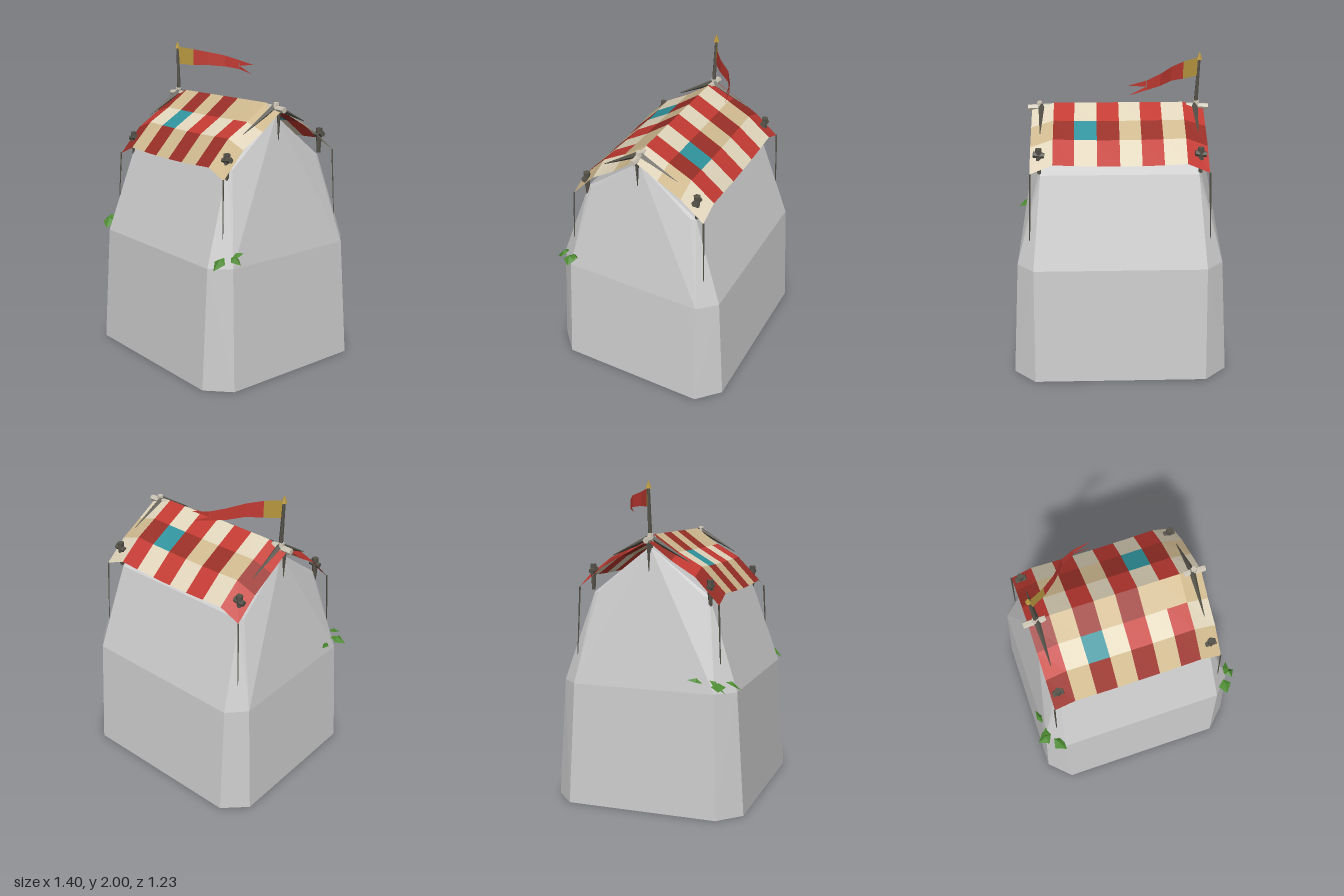
import * as THREE from 'three';
import { ConvexGeometry } from 'three/addons/geometries/ConvexGeometry.js';

const mat = (name, color, flat = true) => {
  const m = new THREE.MeshStandardMaterial({ color, flatShading: flat, side: THREE.DoubleSide });
  m.name = name;
  return m;
};
const V = (x, y, z) => new THREE.Vector3(x, y, z);

export function createModel() {
  const group = new THREE.Group();
  const M = {
    stone: mat('stone grey', 0xcccccc), cream: mat('cream cloth', 0xe0d5bb), tan: mat('tan cloth', 0xcfb98f),
    red: mat('red cloth', 0xc23a32), darkRed: mat('dark red cloth', 0x982f27), teal: mat('teal patch', 0x2f929c),
    gold: mat('gold', 0xb8973f), wood: mat('dark wood', 0x56534a), pale: mat('pale wood', 0xcfc8b8),
    leaf: mat('leaf green', 0x4c8a30),
  };
  const add = (name, geometry, material, parent = group) => {
    const mesh = new THREE.Mesh(geometry, material);
    mesh.name = name;
    parent.add(mesh);
    return mesh;
  };
  // Triangles through a list of corner points
  const faces = (pts) => {
    const g = new THREE.BufferGeometry().setFromPoints(pts);
    g.computeVertexNormals();
    return g;
  };
  // Tapered stick between two points
  const stick = (name, a, b, ra, rb, material, sides = 6) => {
    const d = b.clone().sub(a);
    const mesh = add(name, new THREE.CylinderGeometry(rb, ra, d.length(), sides), material);
    mesh.position.copy(a).add(b).multiplyScalar(0.5);
    mesh.quaternion.setFromUnitVectors(V(0, 1, 0), d.normalize());
    return mesh;
  };

  // Tent body: chamfered rings [y, outer x, inner x, outer z, inner z] closing in a ridge
  const bodyPts = [V(-0.5, 1.61, 0), V(0.5, 1.61, 0)];
  const rings = [[0, 0.69, 0.55, 0.615, 0.48], [0.76, 0.645, 0.54, 0.565, 0.455], [1.32, 0.505, 0.49, 0.375, 0.345]];
  for (const [y, ox, ix, oz, iz] of rings)
    for (const sx of [-1, 1]) for (const sz of [-1, 1])
      bodyPts.push(V(sx * ox, y, sz * iz), V(sx * ix, y, sz * oz));
  add('body', new ConvexGeometry(bodyPts), M.stone);

  // Draped patchwork cloth, rows running from back to front
  const rowZ = [-0.45, -0.3, -0.15, 0, 0.15, 0.3, 0.45];
  const rowY = [1.415, 1.53, 1.605, 1.68, 1.575, 1.49, 1.335];
  const colX = [-0.545, -0.41, -0.27, -0.135, 0, 0.14, 0.28, 0.41, 0.55];
  const point = (c, r) => {
    const end = c === 0 || c === 8;
    const drop = end ? 0.035 + 0.025 * Math.abs(rowZ[r]) / 0.45 : 0;
    const sag = 0.015 * Math.abs(rowZ[r]) / 0.45 * Math.cos(colX[c] * 3.5);
    return V(colX[c], rowY[r] - drop - (end ? 0 : sag), rowZ[r]);
  };
  const patches = { cream: [], tan: [], red: [], darkRed: [], teal: [] };
  for (let r = 0; r < 6; r++) for (let c = 0; c < 8; c++) {
    const shaded = r % 2 === 1;
    let key = c % 2 === 0 ? (shaded ? 'darkRed' : 'red') : (shaded ? 'tan' : 'cream');
    if ((c === 2 && r === 4) || (c === 5 && r === 1)) key = 'teal';
    if (c === 6 && r === 3) key = 'tan';
    const [a, b, d, e] = [point(c, r), point(c, r + 1), point(c + 1, r + 1), point(c + 1, r)];
    patches[key].push(a, b, d, a, d, e);
  }
  const cloth = new THREE.Group();
  cloth.name = 'roofCloth';
  group.add(cloth);
  for (const key in patches) add(key + 'Patches', faces(patches[key]), M[key], cloth);

  // Ridge beam ends, with lashings over the slopes and a hanging tie
  for (const s of [-1, 1]) {
    stick('ridgeBeamEnd', V(s * 0.435, 1.655, 0), V(s * 0.575, 1.65, 0), 0.02, 0.02, M.pale);
    stick('beamKnot', V(s * 0.5, 1.63, 0), V(s * 0.5, 1.69, 0), 0.024, 0.018, M.pale);
    for (const z of [-1, 1]) {
      const lashing = stick('ridgeLashing', V(s * 0.49, 1.665, 0), V(s * 0.49, z > 0 ? 1.52 : 1.55, z * 0.25), 0.02, 0.002, M.wood, 4);
      lashing.name = z > 0 ? 'frontLashing' : 'backLashing';
    }
    stick('hangingTie', V(s * 0.525, 1.64, 0), V(s * 0.525, 1.46, 0), 0.014, 0.002, M.wood, 5);

    // Corner pegs with cross bars, and hanging cords
    for (const z of [-1, 1]) {
      const y = z > 0 ? 1.34 : 1.415;
      const x = s * 0.495, pz = z * 0.38;
      stick('cornerPeg', V(x, y - 0.08, pz), V(x, y + 0.08, pz), 0.012, 0.022, M.wood);
      stick('pegCrossBar', V(x - 0.035, y + 0.035, pz), V(x + 0.035, y + 0.045, pz), 0.018, 0.02, M.wood);
      stick('cord', V(s * 0.547, y - 0.06, z * 0.45), V(s * 0.563, 0.91, z * 0.467), 0.006, 0.003, M.wood, 4);
    }
  }

  // Flag pole and finial
  stick('flagPole', V(-0.49, 1.54, 0), V(-0.51, 1.96, -0.005), 0.016, 0.009, M.wood);
  stick('finial', V(-0.51, 1.955, -0.005), V(-0.512, 2, -0.005), 0.02, 0.002, M.gold);

  // Waving pennant: [x, z, top y, bottom y]
  const wave = [[-0.505, -0.005, 1.968, 1.852], [-0.405, -0.06, 1.953, 1.845], [-0.325, -0.125, 1.935, 1.848],
    [-0.25, -0.215, 1.912, 1.838], [-0.165, -0.265, 1.884, 1.825]];
  wave.slice(1).forEach((b, i) => {
    const a = wave[i];
    const [at, ab, bt, bb] = [V(a[0], a[2], a[1]), V(a[0], a[3], a[1]), V(b[0], b[2], b[1]), V(b[0], b[3], b[1])];
    add(i ? 'pennantCloth' : 'pennantBand', faces([at, ab, bb, at, bb, bt]), i ? M.red : M.gold);
  });
  const notch = V(-0.16, 1.846, -0.265);
  add('pennantTails', faces([
    V(-0.165, 1.884, -0.265), notch, V(-0.05, 1.86, -0.292),
    notch, V(-0.165, 1.825, -0.265), V(-0.055, 1.797, -0.285)]), M.red);

  // Folded leaves: [base], [tip], half width
  const leaves = [
    [[-0.61, 0.82, 0.47], [-0.705, 0.79, 0.495], 0.045],
    [[-0.63, 0.84, 0.42], [-0.645, 0.77, 0.52], 0.03],
    [[-0.60, 0.83, 0.51], [-0.54, 0.775, 0.59], 0.045],
    [[-0.64, 0.82, 0.38], [-0.66, 0.84, 0.29], 0.02],
    [[0.605, 0.83, 0.49], [0.61, 0.765, 0.575], 0.045],
    [[0.63, 0.83, 0.46], [0.70, 0.795, 0.44], 0.04],
    [[0.63, 0.82, 0.46], [0.66, 0.85, 0.385], 0.025],
  ];
  for (const [b, t, w] of leaves) {
    const base = V(...b), tip = V(...t);
    const dir = tip.clone().sub(base);
    const side = V(0, 1, 0).cross(dir).normalize().multiplyScalar(w);
    const mid = base.clone().lerp(tip, 0.4);
    const spine = mid.clone().add(V(0, 0.025, 0));
    const l = mid.clone().add(side), r = mid.clone().sub(side);
    add('leaf', faces([base, l, spine, l, tip, spine, base, spine, r, spine, tip, r]), M.leaf);
  }
  return group;
}
